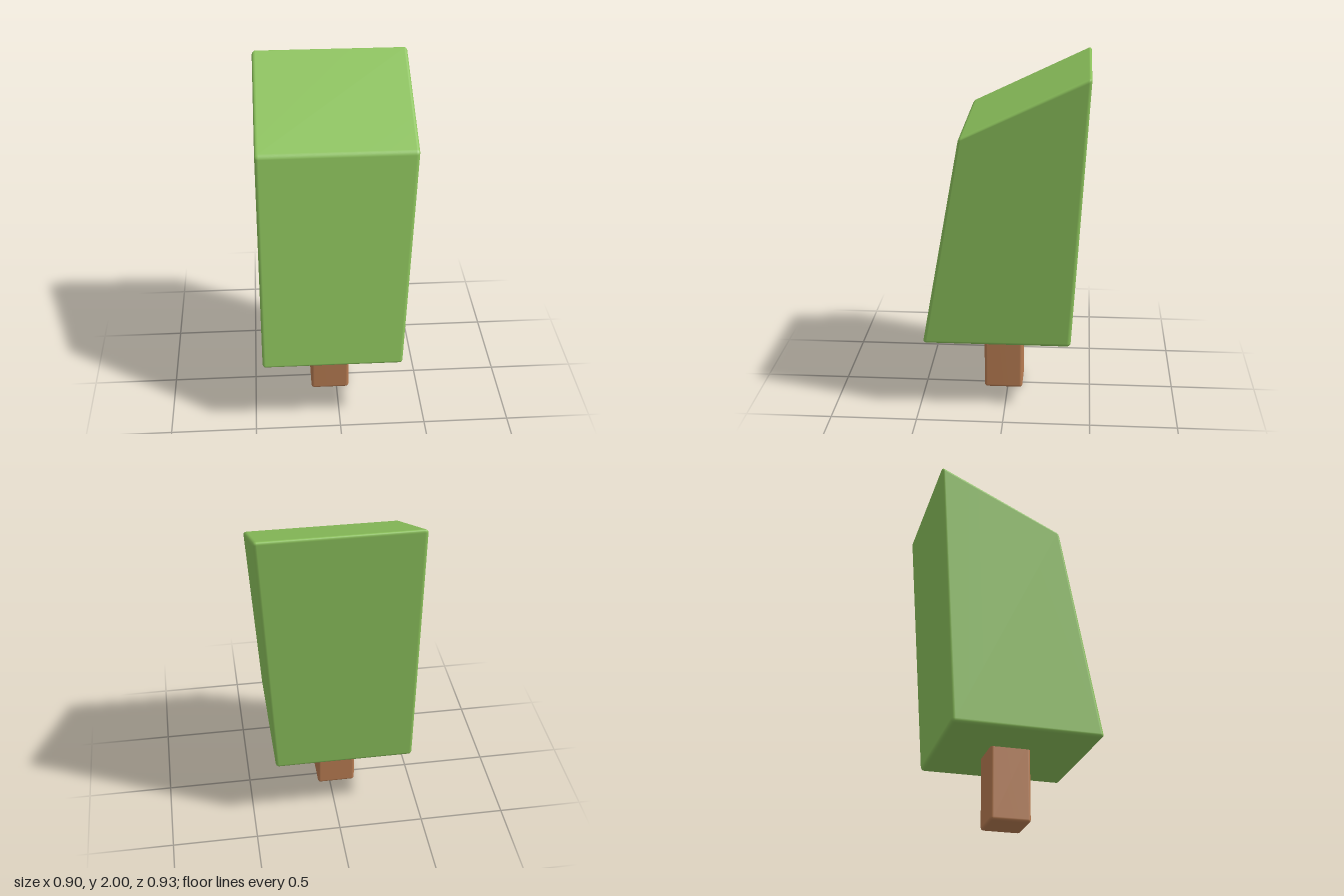
import * as THREE from 'three';
import { mergeVertices } from 'three/addons/utils/BufferGeometryUtils.js';
import { RoundedBoxGeometry } from 'three/addons/geometries/RoundedBoxGeometry.js';

// Soft-edged box with smooth normals
function softBox(w, h, d, radius, warp) {
  let geo = new RoundedBoxGeometry(w, h, d, 3, radius);
  geo.clearGroups();
  const pos = geo.attributes.position;
  const p = new THREE.Vector3();
  for (let i = 0; i < pos.count; i++) {
    p.fromBufferAttribute(pos, i);
    warp(p, p.x / w + 0.5, p.y / h + 0.5, p.z / d + 0.5);
    pos.setXYZ(i, p.x, p.y, p.z);
  }
  geo.deleteAttribute('normal');
  geo.deleteAttribute('uv');
  geo = mergeVertices(geo, 1e-5);
  geo.computeVertexNormals();
  return geo;
}

export function createModel() {
  const group = new THREE.Group();
  const { lerp } = THREE.MathUtils;

  // Trunk: short square post, reaching slightly into the crown
  const trunk = new THREE.Mesh(
    softBox(0.23, 0.46, 0.23, 0.018, () => {}),
    new THREE.MeshStandardMaterial({ color: 0xb87c52 })
  );
  trunk.name = 'trunk';
  trunk.position.set(-0.04, 0.23, 0.025);
  group.add(trunk);

  // Crown: leaning block, widening to the left and cut by a slanted top
  const crown = new THREE.Mesh(
    softBox(0.86, 1.4, 0.78, 0.02, (p, u, v, w) => {
      const top = lerp(2.007, 1.667, w);
      p.set(
        lerp(lerp(-0.449, -0.452, v), lerp(0.362, 0.45, v), u),
        lerp(0.42, top, v),
        lerp(lerp(-0.38, -0.467, v), lerp(0.472, 0.24, v), w)
      );
    }),
    new THREE.MeshStandardMaterial({ color: 0x8cc25c })
  );
  crown.name = 'crown';
  group.add(crown);

  return group;
}
